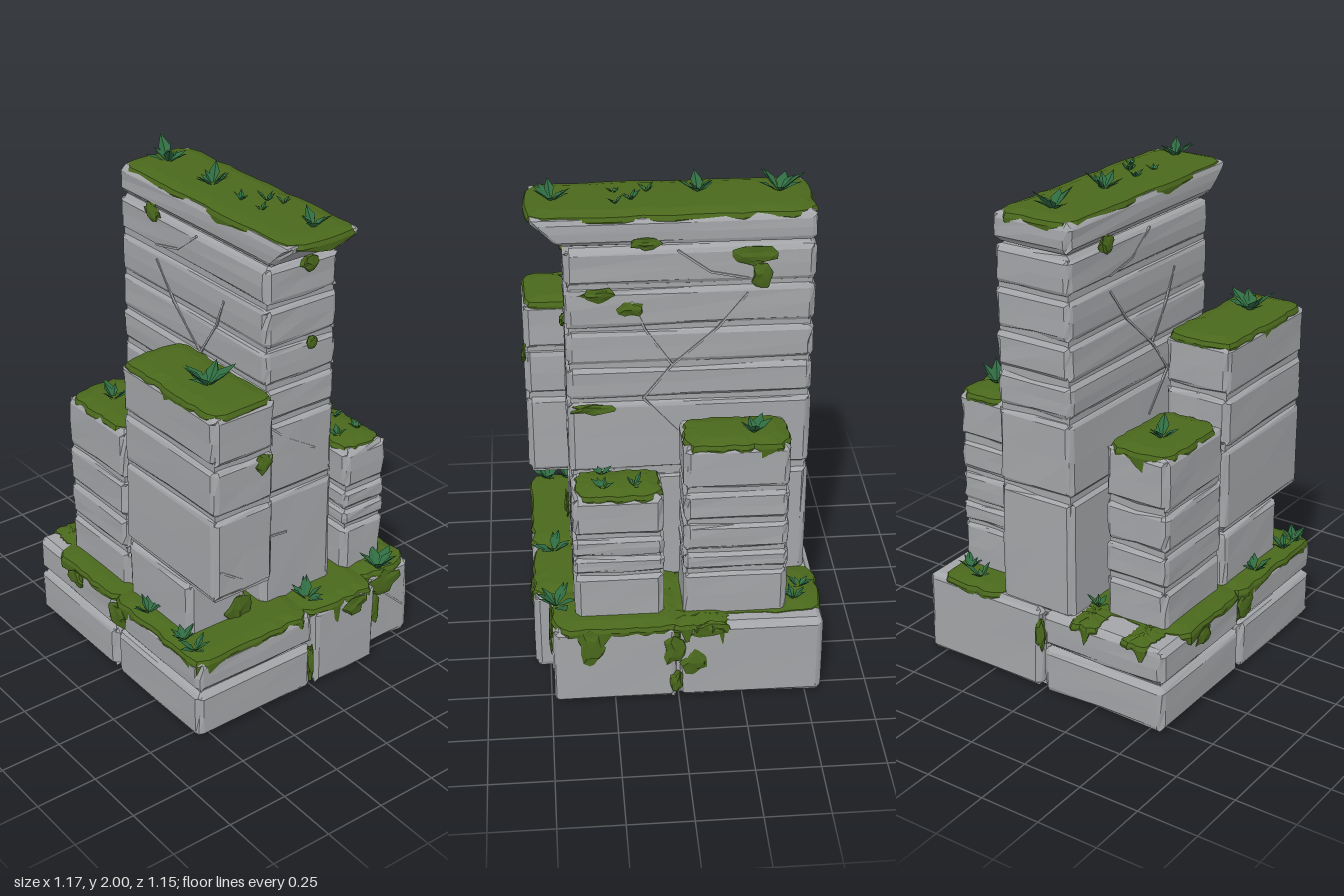
import * as THREE from 'three';

const mat = (name, color, side = THREE.FrontSide) =>
  Object.assign(new THREE.MeshStandardMaterial({ color, flatShading: true, side }), { name });

// Repeatable noise from a position, 0..1
const hash = (x, y, z = 0) => {
  const r = (v) => Math.round(v * 1000) / 1000;
  const s = Math.sin(r(x) * 127.1 + r(y) * 311.7 + r(z) * 74.7) * 43758.5453;
  return s - Math.floor(s);
};

// Worn stone block with chipped bevels; lean pushes the top of its front outward
function blockGeometry([x0, x1], [y0, y1], [z0, z1], lean = 0) {
  const g = new THREE.BoxGeometry(2, 2, 2, 4, 4, 4);
  const half = [(x1 - x0) / 2, (y1 - y0) / 2, (z1 - z0) / 2];
  const mid = [(x0 + x1) / 2, (y0 + y1) / 2, (z0 + z1) / 2];
  const c = Math.min(0.026, 0.45 * Math.min(...half));
  const p = g.attributes.position;
  for (let i = 0; i < p.count; i++) {
    const u = [p.getX(i), p.getY(i), p.getZ(i)];
    const extremes = u.filter((v) => Math.abs(v) > 0.9).length;
    const q = u.map((v, k) => {
      const a = Math.abs(v), s = Math.sign(v);
      if (a < 0.1) return mid[k];
      if (a < 0.9) return mid[k] + s * (half[k] - c);
      const n = hash(u[0] + mid[0] * 3 + k, u[1] + mid[1] * 5, u[2] + mid[2] * 7);
      const bevel = extremes > 1 ? 0.4 * c * (0.6 + 0.8 * n) : 0;
      return mid[k] + s * (half[k] - bevel - 0.004 * n);
    });
    if (u[2] > 0.4) q[2] += lean * (q[1] - y0) / (y1 - y0);
    p.setXYZ(i, ...q);
  }
  g.computeVertexNormals();
  return g;
}

const indexed = (pos, idx) => {
  const g = new THREE.BufferGeometry();
  g.setAttribute('position', new THREE.Float32BufferAttribute(pos, 3));
  g.setIndex(idx);
  g.computeVertexNormals();
  return g;
};

// Moss cap with a domed top and a ragged skirt hanging over the edge
function mossGeometry([x0, x1], [z0, z1], y, drop = 0.05) {
  const a = (x1 - x0) / 2, b = (z1 - z0) / 2, cx = (x0 + x1) / 2, cz = (z0 + z1) / 2;
  const r = Math.min(0.06, a * 0.5, b * 0.5), N = 44, H = Math.PI / 2;
  const s = new THREE.Shape();
  [[1, 1], [-1, 1], [-1, -1], [1, -1]].forEach(([sx, sz], k) =>
    s.absarc(sx * (a - r), sz * (b - r), r, k * H, (k + 1) * H));
  s.closePath();
  const rim = s.getSpacedPoints(N).slice(0, N);
  const pos = [cx, y + 0.022, cz], idx = [];
  const rings = [[-0.045, 0.018, 0], [0, 0.006, 0], [0.007, -0.01, 0], [0.005, -0.014, 1]];
  rings.forEach(([out, dy, hang], k) => rim.forEach((pt, i) => {
    const n = hash(i + cx, cz, y);
    const wave = Math.max(0, Math.sin(i * 0.9 + cx * 20 + y * 9) * Math.sin(i * 0.37 + cz * 11));
    const o = out + (n - 0.5) * 0.014;
    pos.push(cx + pt.x * (1 + o / a), y + dy - hang * drop * (0.2 * n + wave), cz + pt.y * (1 + o / b));
    const j = (i + 1) % N, A = 1 + k * N;
    if (k === 0) idx.push(0, A + j, A + i);
    else idx.push(A - N + i, A - N + j, A + j, A - N + i, A + j, A + i);
  }));
  return indexed(pos, idx);
}

// Tuft of folded pointed leaves fanning out from one spot
function tuftGeometry(size, seed) {
  const pos = [], idx = [], count = Math.round(3 + size * 75);
  for (let i = 0; i < count; i++) {
    const t = (i / count) * Math.PI * 2 + hash(seed, i) * 1.2;
    const L = size * (0.6 + 0.6 * hash(i, seed)), w = L * 0.25, up = 0.4 + 0.65 * hash(seed + 2, i + 5);
    const c = Math.cos(t), s = Math.sin(t), k = pos.length / 3;
    const at = (f, side, h) => pos.push(c * f * L - s * side, h * L, s * f * L + c * side);
    at(0, 0, -0.1);
    at(0.45, w, up * 0.5);
    at(0.45, -w, up * 0.5);
    at(0.42, 0, up * 0.32);
    at(0.95, 0, up * 0.9);
    idx.push(k, k + 1, k + 3, k, k + 3, k + 2, k + 1, k + 4, k + 3, k + 3, k + 4, k + 2);
  }
  return indexed(pos, idx);
}

// Ragged moss lump
function clumpGeometry(rx, ry, rz, seed) {
  const g = new THREE.IcosahedronGeometry(1, 1), p = g.attributes.position;
  for (let i = 0; i < p.count; i++) {
    const [x, y, z] = [p.getX(i), p.getY(i), p.getZ(i)];
    const k = 0.6 + 0.6 * hash(x + seed, y, z);
    p.setXYZ(i, x * rx * k, y * ry * k, z * rz * k);
  }
  g.computeVertexNormals();
  return g;
}

export function createModel() {
  const model = new THREE.Group();
  model.name = 'mossyRuin';
  const stone = mat('stone', 0xa3a5a8);
  const moss = mat('moss', 0x4a681c, THREE.DoubleSide);
  const leaf = mat('leaf', 0x2f6b41, THREE.DoubleSide);
  const add = (name, geo, m, x = 0, y = 0, z = 0) => {
    const mesh = new THREE.Mesh(geo, m);
    mesh.name = name;
    mesh.position.set(x, y, z);
    model.add(mesh);
    return mesh;
  };
  // Recessed filling behind the joints between blocks
  const core = (name, [x0, x1], [y0, y1], [z0, z1]) =>
    add(name, new THREE.BoxGeometry(x1 - x0 - 0.032, y1 - y0, z1 - z0 - 0.032),
      stone, (x0 + x1) / 2, (y0 + y1) / 2, (z0 + z1) / 2);
  // Stack of stone courses split at the given heights
  const stack = (name, xs, zs, heights) => {
    heights.slice(1).forEach((top, i) =>
      add(name + 'Stone', blockGeometry(xs, [heights[i] + 0.001, top - 0.001], zs), stone));
    core(name + 'Core', xs, [heights[0], heights.at(-1) - 0.04], zs);
  };

  // Base blocks
  const base = (xs, ys, zs) => add('baseStone', blockGeometry(xs, ys, zs), stone);
  const left = [-0.565, -0.004], front = [0.004, 0.56], back = [-0.565, -0.004], full = [0, 0.355];
  base(left, [0, 0.21], front);
  base(left, [0.213, 0.355], front);
  base([0.004, 0.325], full, front);
  base([0.33, 0.565], full, [0.004, 0.49]);
  base([0.004, 0.565], full, back);
  base(left, [0, 0.198], back);
  base(left, [0.201, 0.355], back);
  core('baseCore', [-0.54, 0.54], [0.004, 0.33], [-0.54, 0.48]);

  // Central tower with an overhanging top slab
  stack('tower', [-0.135, 0.21], [-0.535, 0.4], [0.33, 0.84, 1.16, 1.31, 1.465, 1.635, 1.795]);
  add('towerTopSlab', blockGeometry([-0.135, 0.21], [1.796, 1.915], [-0.535, 0.41], 0.13), stone);

  // Four side pillars, the front right one overhanging
  stack('frontRightPillar', [-0.49, -0.205], [-0.01, 0.4], [0.33, 0.595]);
  stack('frontRightPillarUpper', [-0.49, -0.205], [-0.02, 0.56], [0.595, 0.955, 1.165, 1.375]);
  stack('backRightPillar', [-0.485, -0.205], [-0.425, -0.025], [0.33, 0.52, 0.67, 0.84, 1.06]);
  stack('backLeftPillar', [0.25, 0.49], [-0.425, -0.02], [0.33, 0.555, 0.64, 0.775, 0.915, 1.11]);
  add('backLeftPillarBulge', blockGeometry([0.222, 0.3], [0.88, 1.09], [-0.4, -0.15]), stone);
  stack('frontLeftPillar', [0.275, 0.49], [0.05, 0.4], [0.33, 0.56, 0.635, 0.725, 0.905]);

  // Fracture ridges as thin strips along a path; turn puts them on a side wall
  const crack = (path, face, turn) => path.slice(1).forEach(([ub, yb], i) => {
    const [ua, ya] = path[i], u = (ua + ub) / 2, dy = yb - ya, du = ub - ua;
    const strip = new THREE.BoxGeometry(Math.hypot(du, dy), 0.008, 0.008);
    strip.rotateZ(Math.atan2(dy, du));
    if (turn) strip.rotateY(-Math.PI / 2);
    add('fracture', strip, stone, turn ? face : u, (ya + yb) / 2, turn ? u : face);
  });
  for (const x of [0.208, -0.133]) {
    crack([[-0.28, 1.6], [-0.17, 1.46], [0, 1.31], [0.11, 1.17], [-0.02, 1.02]], x, true);
    crack([[0.15, 1.58], [0.1, 1.46], [0, 1.31]], x, true);
    crack([[-0.02, 1.78], [-0.14, 1.69], [-0.28, 1.66]], x, true);
  }
  crack([[-0.11, 1.15], [-0.02, 1.07], [0.11, 0.99]], 0.398, false);
  crack([[-0.12, 0.67], [-0.02, 0.66]], 0.398, false);
  crack([[-0.46, 0.73], [-0.36, 0.66]], 0.557, false);
  crack([[0.36, 0.3], [0.53, 0.14]], 0.487, false);

  // Moss on the base blocks
  const cap = (...m) => add('mossCap', mossGeometry(...m), moss);
  cap([-0.56, -0.01], [-0.01, 0.55], 0.35);
  cap([-0.56, -0.01], [-0.43, 0.01], 0.35);
  for (const x of [-0.43, -0.19]) cap([x - 0.06, x + 0.05], [-0.565, -0.4], 0.35);
  cap([-0.03, 0.32], [-0.01, 0.55], 0.35, 0.08);
  cap([0.3, 0.56], [-0.01, 0.48], 0.35, 0.08);
  cap([0.2, 0.5], [-0.56, 0.02], 0.35);
  cap([0.44, 0.565], [-0.19, 0.02], 0.35, 0.08);
  // Moss on the tower and pillars
  cap([-0.125, 0.193], [-0.525, 0.525], 1.908, 0.025);
  cap([-0.48, -0.215], [-0.015, 0.55], 1.37);
  cap([-0.47, -0.215], [-0.415, -0.035], 1.055);
  cap([0.275, 0.48], [-0.415, -0.035], 1.105, 0.035);
  cap([0.295, 0.477], [0.065, 0.375], 0.9, 0.04);

  // Moss clumps on a wall: position along it, height, half width, half height
  const clumps = (face, sideways, list) => list.forEach(([u, y, ru, ry]) => {
    const [rx, rz] = sideways ? [0.013, ru] : [ru, 0.013];
    add('mossClump', clumpGeometry(rx, ry, rz, u + y), moss, sideways ? face : u, y, sideways ? u : face);
  });
  clumps(0.21, true, [[0.27, 1.61, 0.07, 0.03], [0.15, 1.55, 0.055, 0.035], [0.1, 1.81, 0.06, 0.025],
    [-0.31, 1.75, 0.09, 0.04], [-0.33, 1.68, 0.04, 0.06], [0.3, 1.13, 0.09, 0.025]]);
  clumps(0.562, true, [[0.34, 0.27, 0.06, 0.08], [0.02, 0.25, 0.05, 0.08], [-0.06, 0.18, 0.06, 0.06],
    [0.01, 0.09, 0.025, 0.05], [-0.12, 0.33, 0.09, 0.04]]);
  clumps(-0.135, true, [[-0.3, 1.79, 0.05, 0.04]]);
  clumps(-0.565, true, [[0.02, 0.28, 0.06, 0.06], [-0.28, 0.3, 0.06, 0.04]]);
  clumps(0.403, false, [[0.06, 1.77, 0.04, 0.035], [0.08, 1.45, 0.03, 0.025], [-0.26, 0.4, 0.06, 0.07]]);
  clumps(0.558, false, [[-0.26, 1.12, 0.045, 0.045], [-0.02, 0.13, 0.018, 0.09], [0.21, 0.31, 0.06, 0.045]]);
  clumps(0.49, false, [[0.42, 0.29, 0.09, 0.06], [0.37, 0.18, 0.035, 0.08]]);
  clumps(-0.562, false, [[0, 0.25, 0.025, 0.08]]);

  // Leaf tufts at a height: x, z, leaf length
  const tufts = (y, list) => list.forEach(([x, z, size]) => add('leafTuft', tuftGeometry(size, x + z), leaf, x, y, z));
  tufts(1.925, [[0.02, -0.41, 0.085], [0.01, -0.11, 0.08], [0.05, 0.43, 0.075], [0, 0.08, 0.035], [0.07, 0.14, 0.04],
    [0.1, 0.2, 0.03], [0, 0.2, 0.03]]);
  tufts(1.39, [[-0.36, 0.35, 0.1]]);
  tufts(1.07, [[-0.36, -0.27, 0.075]]);
  tufts(1.12, [[0.4, -0.29, 0.075]]);
  tufts(0.915, [[0.33, 0.28, 0.045], [0.42, 0.16, 0.045], [0.43, 0.28, 0.045]]);
  tufts(0.365, [[-0.52, 0.17, 0.07], [-0.52, 0.4, 0.065], [-0.52, 0.48, 0.065], [0.4, 0.47, 0.1], [0.03, 0.47, 0.08],
    [0.43, -0.46, 0.065], [0.35, -0.49, 0.06], [-0.175, -0.42, 0.045], [-0.175, -0.27, 0.04], [-0.175, -0.14, 0.04]]);

  return model;
}
